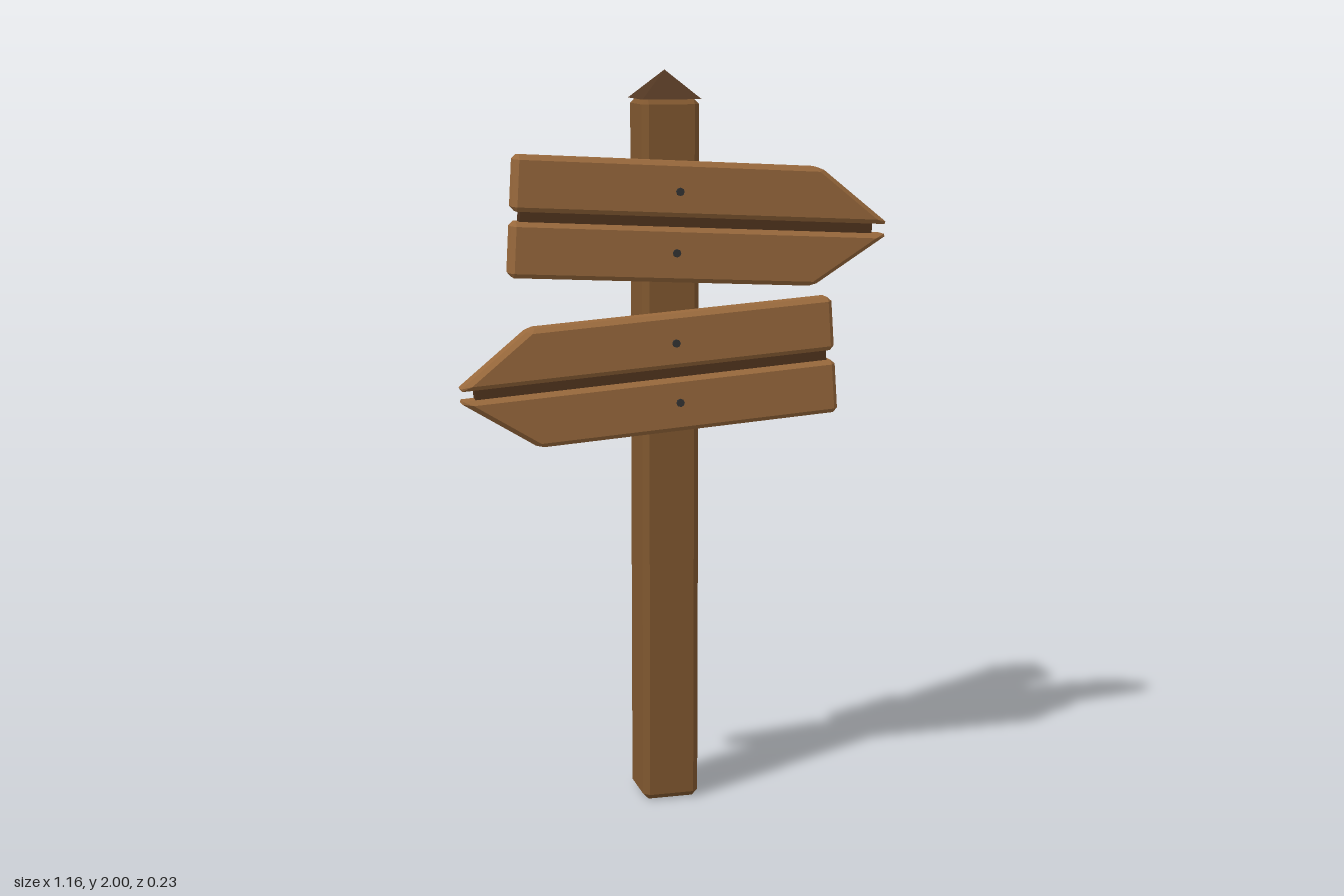
import * as THREE from 'three';
import { ConvexGeometry } from 'three/addons/geometries/ConvexGeometry.js';

const paint = (color) => new THREE.MeshStandardMaterial({ color });
const POST = paint(0x80572f), BOARD = paint(0x99693c), CAP = paint(0x523722);
const BACKING = paint(0x4f331d), NAIL = paint(0x333333);

function add(parent, name, geometry, material, x = 0, y = 0, z = 0) {
  const mesh = new THREE.Mesh(geometry, material);
  mesh.name = name;
  mesh.position.set(x, y, z);
  parent.add(mesh);
  return mesh;
}

// Convex outline extruded along z, with every edge and corner chamfered by d
function chamferedPrism(outline, depth, d) {
  const pts = outline.map(([x, y]) => new THREE.Vector2(x, y));
  const n = pts.length, h = depth / 2, out = [];
  pts.forEach((p, i) => {
    const a = pts[(i + n - 1) % n].clone().sub(p).normalize();
    const b = pts[(i + 1) % n].clone().sub(p).normalize();
    const inset = a.clone().add(b).multiplyScalar(d / Math.abs(a.cross(b)));
    for (const s of [-1, 1]) {
      out.push(new THREE.Vector3(p.x + a.x * d, p.y + a.y * d, s * (h - d)));
      out.push(new THREE.Vector3(p.x + b.x * d, p.y + b.y * d, s * (h - d)));
      out.push(new THREE.Vector3(p.x + inset.x, p.y + inset.y, s * h));
    }
  });
  return new ConvexGeometry(out);
}

// Arrow sign of two half boards; dir is +1 or -1 for the way it points
function makeSign(name, dir, y, tilt) {
  const sign = new THREE.Group();
  sign.name = name;
  sign.position.set(0, y, 0.0745);
  sign.rotation.z = tilt;
  for (const s of [1, -1]) {
    const half = s > 0 ? 'upper' : 'lower';
    const outline = [[-0.44, 0.013], [0.588, 0.013], [0.385, 0.158], [-0.44, 0.158]]
      .map(([px, py]) => [px * dir, py * s]);
    add(sign, half + 'Board', chamferedPrism(outline, 0.065, 0.012), BOARD);
    const nail = add(sign, half + 'Nail', new THREE.CylinderGeometry(0.011, 0.011, 0.02, 8), NAIL, 0, s * 0.08, 0.028);
    nail.rotation.x = Math.PI / 2;
  }
  // Dark strip closing the slot between the boards
  add(sign, 'slotBacking', new THREE.BoxGeometry(0.96, 0.04, 0.035), BACKING, 0.062 * dir);
  return sign;
}

export function createModel() {
  const model = new THREE.Group();
  model.name = 'signpost';
  const postZ = -0.037, w = 0.078;

  // Post
  add(model, 'post', chamferedPrism([[-w, 0], [w, 0], [w, 1.928], [-w, 1.928]], 2 * w, 0.016), POST, 0, 0, postZ);

  // Pyramid cap
  const cap = new THREE.ConeGeometry(0.08 * Math.SQRT2, 0.075, 4).rotateY(Math.PI / 4).toNonIndexed();
  cap.computeVertexNormals();
  add(model, 'cap', cap, CAP, 0, 1.9625, postZ);

  // Signs
  model.add(makeSign('upperSign', 1, 1.61, -0.056));
  model.add(makeSign('lowerSign', -1, 1.212, 0.07));
  return model;
}
